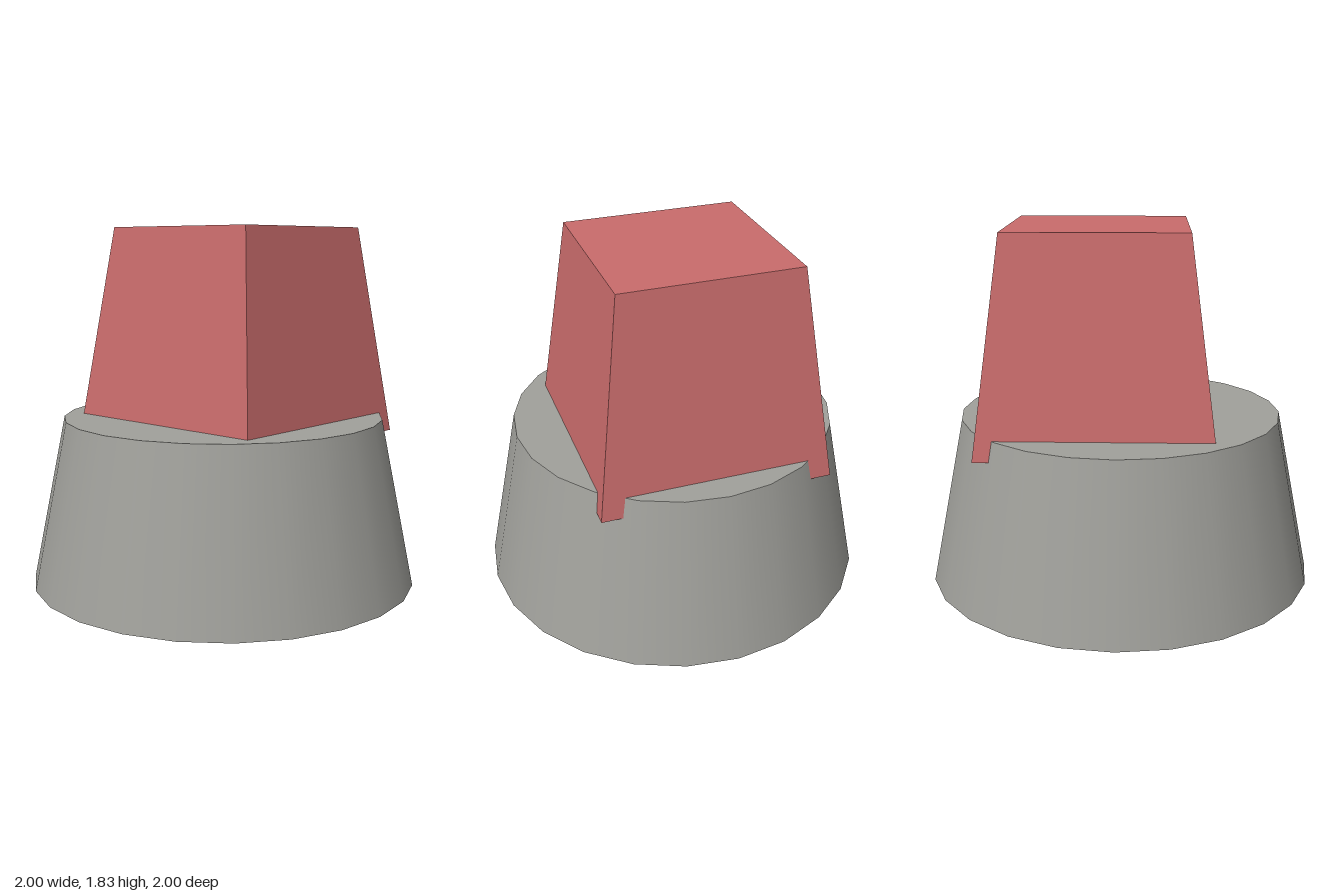
import * as THREE from 'three';

const stone = new THREE.MeshStandardMaterial({ color: 0xa0a09b });
stone.name = 'warm grey';
const red = new THREE.MeshStandardMaterial({ color: 0xc96c6c });
red.name = 'soft red';

// Box whose top face is narrowed to topSize; base sits at y = 0
function taperedBlock(bottomSize, topSize, height) {
  const geometry = new THREE.BoxGeometry(bottomSize, height, bottomSize);
  geometry.translate(0, height / 2, 0);
  const p = geometry.attributes.position;
  for (let i = 0; i < p.count; i++) {
    const s = THREE.MathUtils.lerp(1, topSize / bottomSize, p.getY(i) / height);
    p.setX(i, p.getX(i) * s);
    p.setZ(i, p.getZ(i) * s);
  }
  geometry.computeVertexNormals();
  return geometry;
}

export function createModel() {
  const model = new THREE.Group();

  // Round tapered base
  const baseHeight = 0.86;
  const base = new THREE.Mesh(new THREE.CylinderGeometry(0.827, 1, baseHeight, 24), stone);
  base.name = 'base';
  base.position.y = baseHeight / 2;
  model.add(base);

  // Square tapered block, set back and sunk into the base so its rear corners poke out
  const block = new THREE.Mesh(taperedBlock(1.17, 0.895, 1.073), red);
  block.name = 'block';
  block.position.set(0, 0.757, -0.106);
  model.add(block);

  return model;
}
